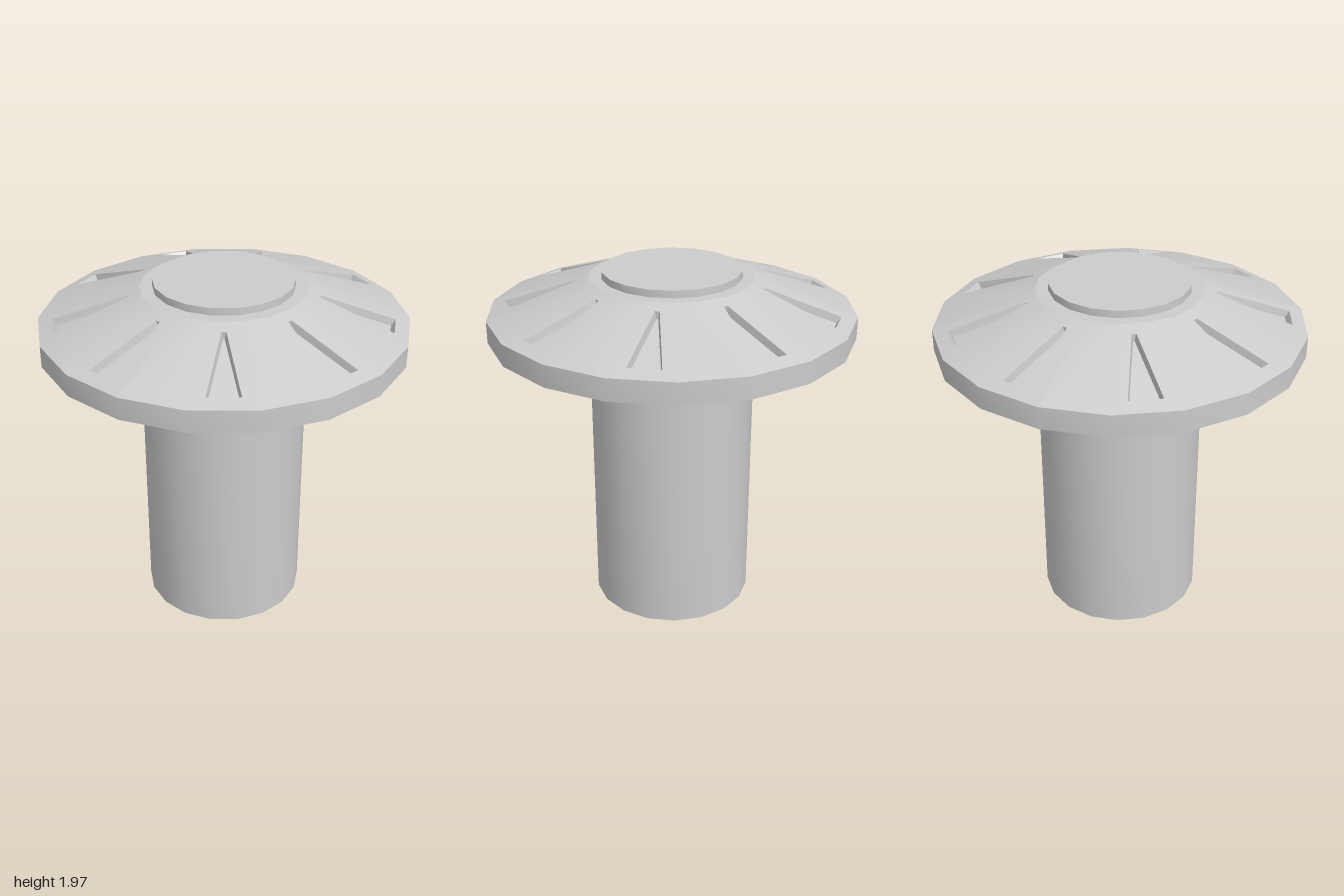
import * as THREE from 'three';
import { mergeGeometries, toCreasedNormals } from 'three/addons/utils/BufferGeometryUtils.js';

const SIDES = 18;
const STEP = (Math.PI * 2) / SIDES;
const OUTER = { r: 1, y: 1.74 }; // lower edge of the sloped crown
const INNER = { r: 0.45, y: 1.93 }; // upper edge of the sloped crown
const CREASE = 0.6;

const material = new THREE.MeshStandardMaterial({ color: 0xcccccc });

// Faceted solid of revolution, with a facet centred on +z
function turned(profile) {
  const points = profile.map(([r, y]) => new THREE.Vector2(r, y));
  return bare(new THREE.LatheGeometry(points, SIDES, STEP / 2));
}

function bare(geometry) {
  const g = geometry.index ? geometry.toNonIndexed() : geometry;
  g.deleteAttribute('uv');
  g.deleteAttribute('normal');
  return g;
}

// One sloped facet of the crown facing +z, optionally with a sunken wedge
function crownFacet(slotted) {
  const c = Math.cos(STEP / 2), s = Math.sin(STEP / 2);
  const z0 = INNER.r * c, z1 = OUTER.r * c;
  const slope = (OUTER.y - INNER.y) / (z1 - z0);
  const normal = new THREE.Vector3(0, 1, -slope).normalize();
  const onSlope = (u, z, depth = 0) =>
    new THREE.Vector3(u, INNER.y + (z - z0) * slope, z).addScaledVector(normal, -depth);

  const wedge = (wide, narrow, far, near) => [[-wide, far], [wide, far], [narrow, near], [-narrow, near]];
  const flat = ([u, z]) => new THREE.Vector2(u, -z);
  const shape = new THREE.Shape(wedge(OUTER.r * s, INNER.r * s, z1, z0).map(flat));
  const rim = wedge(0.085, 0.012, 0.91, 0.51);
  if (slotted) shape.holes.push(new THREE.Path(rim.map(flat)));

  const face = bare(new THREE.ShapeGeometry(shape));
  const pos = face.attributes.position;
  for (let i = 0; i < pos.count; i++) {
    const p = onSlope(pos.getX(i), -pos.getY(i));
    pos.setXYZ(i, p.x, p.y, p.z);
  }
  if (!slotted) return face;

  // Walls and floor of the wedge
  const top = rim.map(([u, z]) => onSlope(u, z));
  const floor = wedge(0.076, 0.004, 0.901, 0.52).map(([u, z]) => onSlope(u, z, 0.04));
  const corners = [];
  const quad = (a, b, d, e) => corners.push(a, b, d, a, d, e);
  for (let i = 0; i < 4; i++) {
    const j = (i + 1) % 4;
    quad(top[i], top[j], floor[j], floor[i]);
  }
  quad(...floor);
  const recess = new THREE.BufferGeometry().setFromPoints(corners);
  return mergeGeometries([face, recess]);
}

export function createModel() {
  const group = new THREE.Group();
  const add = (name, geometry) => {
    const mesh = new THREE.Mesh(toCreasedNormals(geometry, CREASE), material);
    mesh.name = name;
    group.add(mesh);
  };

  // Closed column
  add('stem', turned([[0, 0], [0.455, 0], [0.455, 1.53]]));

  // Underside and upright rim of the head
  add('headRim', turned([[0.455, 1.53], [OUTER.r, 1.62], [OUTER.r, OUTER.y]]));

  // Sloped crown: every second facet carries a wedge recess
  const facets = [];
  for (let i = 0; i < SIDES; i++) facets.push(crownFacet(i % 2 === 0).rotateY(i * STEP));
  add('slottedCrown', mergeGeometries(facets));

  // Flat shoulder and raised disc
  add('topCap', turned([[INNER.r, INNER.y], [0.38, INNER.y], [0.38, 1.97], [0, 1.97]]));

  return group;
}
